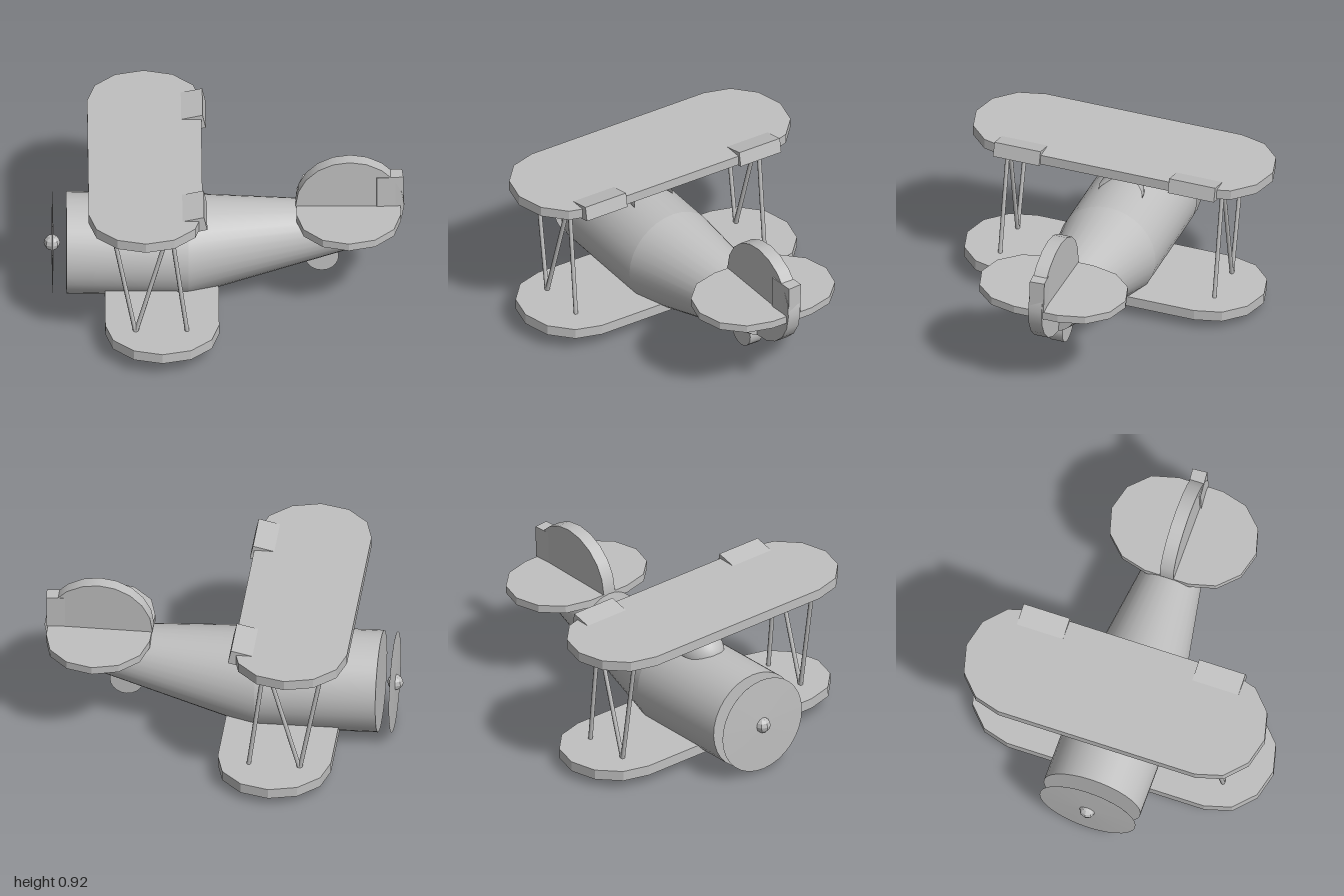
import * as THREE from 'three';

export function createModel() {
  const grey = new THREE.MeshStandardMaterial({ color: 0xc0c0c0 });
  grey.name = 'light grey';
  const greyOpen = new THREE.MeshStandardMaterial({ color: 0xc0c0c0, side: THREE.DoubleSide });
  greyOpen.name = 'light grey shell';

  // The plane is built nose to +z, then turned and banked slightly.
  const plane = new THREE.Group();
  plane.name = 'biplane';
  plane.rotation.order = 'YXZ';
  plane.rotation.set(0, THREE.MathUtils.degToRad(-56.3), THREE.MathUtils.degToRad(1.5));
  plane.position.set(-0.038, 0, -0.057);

  const add = (name, geo, x, y, z, mat = grey) => {
    const m = new THREE.Mesh(geo, mat);
    m.name = name;
    m.position.set(x, y, z);
    plane.add(m);
    return m;
  };

  // Fuselage: two round sections, each sheared so its axis meets the next
  const section = (name, z0, y0, r0, z1, y1, r1) => {
    const len = z0 - z1;
    const g = new THREE.CylinderGeometry(r0, r1, len, 32).rotateX(Math.PI / 2);
    const p = g.attributes.position;
    for (let i = 0; i < p.count; i++) {
      p.setY(i, p.getY(i) + (p.getZ(i) / len) * (y0 - y1));
    }
    add(name, g, 0, (y0 + y1) / 2, (z0 + z1) / 2);
  };
  section('noseSection', 0.8, 0.308, 0.288, 0.115, 0.291, 0.288);
  section('tailSection', 0.115, 0.291, 0.288, -0.795, 0.42, 0.137);

  // Flat plate with rounded, faceted ends
  const plate = (straight, rx, rz, thick) => {
    const pts = [];
    for (const side of [1, -1]) {
      for (let i = 0; i <= 6; i++) {
        const a = -Math.PI / 2 + (i / 6) * Math.PI;
        pts.push(new THREE.Vector2(side * (straight + rx * Math.cos(a)), side * rz * Math.sin(a)));
      }
    }
    const g = new THREE.ExtrudeGeometry(new THREE.Shape(pts), { depth: thick, bevelEnabled: false });
    return g.translate(0, 0, -thick / 2).rotateX(-Math.PI / 2);
  };
  add('upperWing', plate(0.585, 0.302, 0.32, 0.058), 0, 0.848, 0.358);
  add('lowerWing', plate(0.585, 0.302, 0.32, 0.06), 0, 0.103, 0.265);
  add('tailplane', plate(0.13, 0.3, 0.293, 0.045), 0, 0.547, -0.785);

  // Upright round discs
  const disc = (r, thick) => new THREE.CylinderGeometry(r, r, thick, 20).rotateZ(Math.PI / 2);
  add('fin', disc(1, 0.08).scale(1, 0.285, 0.305), 0, 0.575, -0.793);
  add('tailWheel', disc(0.095, 0.08), 0, 0.235, -0.635);
  const rudder = add('rudder', new THREE.BoxGeometry(0.085, 0.19, 0.15), 0, 0.665, -1.015);
  rudder.rotation.y = 0.08;

  // Struts and ailerons on both sides
  const strut = (x, yT, zT, yB, zB) => {
    const a = new THREE.Vector3(x, yB, zB), b = new THREE.Vector3(x, yT, zT);
    const dir = b.clone().sub(a);
    const m = add('strut', new THREE.CylinderGeometry(0.0125, 0.0125, dir.length(), 8), 0, 0, 0);
    m.position.copy(a).add(b).multiplyScalar(0.5);
    m.quaternion.setFromUnitVectors(new THREE.Vector3(0, 1, 0), dir.normalize());
  };
  for (const side of [1, -1]) {
    strut(side * 0.64, 0.83, 0.55, 0.12, 0.415);
    strut(side * 0.64, 0.83, 0.22, 0.12, 0.415);
    strut(side * 0.64, 0.83, 0.22, 0.12, 0.125);
    const aileron = add('aileron', new THREE.BoxGeometry(0.275, 0.085, 0.16), side * 0.522, 0.845, 0.1);
    aileron.rotation.x = 0.22;
  }

  // Windshield: front half of a dome, open to the rear
  const shield = new THREE.SphereGeometry(1, 20, 10, 0, Math.PI, 0, Math.PI / 2).scale(0.13, 0.13, 0.17);
  add('windshield', shield, 0, 0.562, 0.31, greyOpen);

  // Spinning propeller as a thin lens, with a faceted hub
  const lens = [[0, -0.007], [0.285, -0.001], [0.285, 0.001], [0, 0.007]].map(p => new THREE.Vector2(...p));
  add('propeller', new THREE.LatheGeometry(lens, 32).rotateX(Math.PI / 2), 0, 0.308, 0.877);
  add('propellerHub', new THREE.SphereGeometry(0.046, 8, 6).toNonIndexed(), 0, 0.308, 0.88).geometry.computeVertexNormals();

  const model = new THREE.Group();
  model.name = 'model';
  model.add(plane);
  return model;
}
